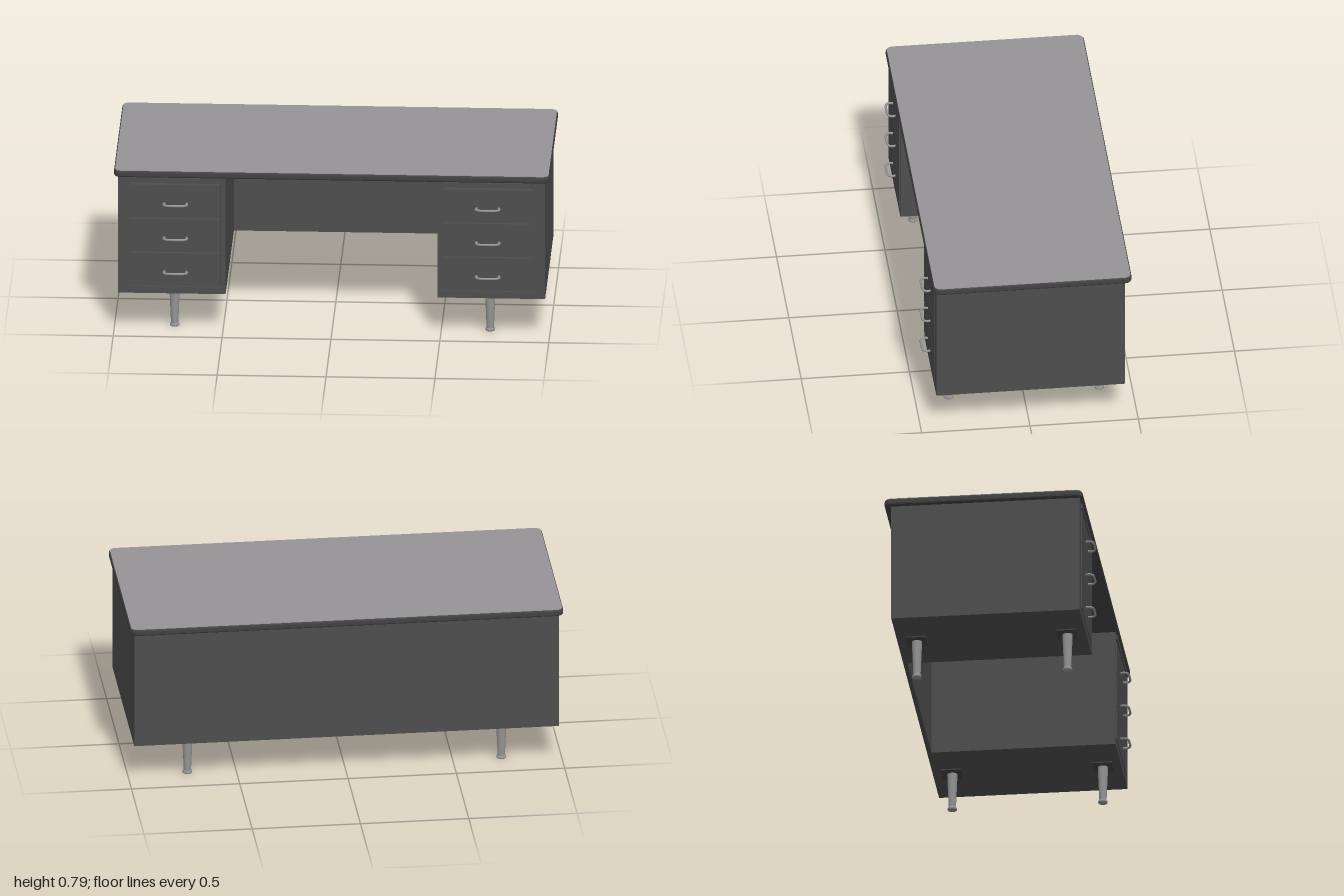
import * as THREE from 'three';

const mat = (name, color, side = THREE.FrontSide) => {
  const m = new THREE.MeshStandardMaterial({ color, side });
  m.name = name;
  return m;
};

function roundedRect(w, d, r, cy = 0) {
  const s = new THREE.Shape(), x = w / 2, y = d / 2;
  s.absarc(x - r, cy + y - r, r, 0, Math.PI / 2);
  s.absarc(-x + r, cy + y - r, r, Math.PI / 2, Math.PI);
  s.absarc(-x + r, cy - y + r, r, Math.PI, Math.PI * 1.5);
  s.absarc(x - r, cy - y + r, r, Math.PI * 1.5, Math.PI * 2);
  s.closePath();
  return s;
}

export function createModel() {
  const desk = new THREE.Group();
  desk.name = 'desk';
  const body = mat('dark grey enamel', 0x4e4e4e);
  const rim = mat('dark edge trim', 0x424242);
  const top = mat('grey worktop', 0x959396);
  const metal = mat('brushed metal', 0x959595);

  const add = (parent, name, geo, material, x = 0, y = 0, z = 0) => {
    const m = new THREE.Mesh(geo, material);
    m.name = name;
    m.position.set(x, y, z);
    parent.add(m);
    return m;
  };
  // Box given by its limits on each axis
  const box = (parent, name, material, x0, x1, y0, y1, z0, z1) =>
    add(parent, name, new THREE.BoxGeometry(x1 - x0, y1 - y0, z1 - z0), material,
      (x0 + x1) / 2, (y0 + y1) / 2, (z0 + z1) / 2);

  // Worktop: rounded trim with a flat surface laid on it
  const b = 0.01, zMid = -0.0145;
  const rimGeo = new THREE.ExtrudeGeometry(roundedRect(2 - 2 * b, 0.915 - 2 * b, 0.022, -zMid), {
    depth: 0.033 - 2 * b, bevelEnabled: true, bevelThickness: b, bevelSize: b, bevelSegments: 3, curveSegments: 6,
  });
  rimGeo.rotateX(-Math.PI / 2);
  add(desk, 'worktopTrim', rimGeo, rim, 0, 0.753 + b, 0);
  const surface = new THREE.ExtrudeGeometry(roundedRect(1.99, 0.905, 0.028, -zMid),
    { depth: 0.004, bevelEnabled: false, curveSegments: 6 });
  surface.rotateX(-Math.PI / 2);
  add(desk, 'worktopSurface', surface, top, 0, 0.783, 0);

  // Back panel across the kneehole
  box(desk, 'backPanel', body, -0.488, 0.488, 0.187, 0.755, -0.44, -0.42);

  // Pedestal front frame with an opening for the drawers
  const frame = new THREE.Shape([[0.487, 0.187], [0.98, 0.187], [0.98, 0.755], [0.487, 0.755]]
    .map(p => new THREE.Vector2(...p)));
  frame.holes.push(new THREE.Path([[0.508, 0.22], [0.508, 0.752], [0.926, 0.752], [0.926, 0.22]]
    .map(p => new THREE.Vector2(...p))));
  const frameGeo = new THREE.ExtrudeGeometry(frame, { depth: 0.02, bevelEnabled: false });
  frameGeo.translate(-0.7335, 0, 0);

  // Bowed drawer pull
  const pull = new THREE.CatmullRomCurve3([
    [-0.05, 0, -0.003], [-0.054, 0, 0.02], [-0.04, 0, 0.034], [0, 0, 0.037],
    [0.04, 0, 0.034], [0.054, 0, 0.02], [0.05, 0, -0.003],
  ].map(p => new THREE.Vector3(...p)));
  const pullGeo = new THREE.TubeGeometry(pull, 24, 0.0055, 8);

  // Tapered leg with a rolled foot
  const legGeo = new THREE.LatheGeometry([
    [0, 0], [0.018, 0], [0.022, 0.003], [0.022, 0.01], [0.018, 0.014], [0.017, 0.018], [0.024, 0.182],
  ].map(p => new THREE.Vector2(...p)), 20);

  for (const s of [-1, 1]) {
    const ped = new THREE.Group();
    ped.name = s > 0 ? 'leftPedestal' : 'rightPedestal';
    ped.position.x = s * 0.7335;
    desk.add(ped);
    box(ped, 'cabinet', body, -0.2465, 0.2465, 0.187, 0.755, -0.44, 0.41);
    // The frame is mirrored by turning it half a circle about the vertical
    const front = add(ped, 'frontFrame', frameGeo, body, 0, 0, s > 0 ? 0.41 : 0.43);
    if (s < 0) front.rotation.y = Math.PI;

    const cx = -s * 0.0165;
    box(ped, 'writingSlide', body, cx - 0.204, cx + 0.204, 0.729, 0.75, 0.38, 0.436);
    for (let i = 0; i < 3; i++) {
      const y = 0.224 + i * 0.166;
      box(ped, 'drawer' + (i + 1), body, cx - 0.205, cx + 0.205, y, y + 0.161, 0.38, 0.433);
      add(ped, 'drawerPull' + (i + 1), pullGeo, metal, cx, y + 0.071, 0.432);
    }
    for (const z of [0.345, -0.35]) {
      const place = z > 0 ? 'front' : 'back', x = -s * 0.009;
      add(ped, place + 'Leg', legGeo, metal, x, 0, z);
      box(ped, place + 'LegPlate', rim, x - 0.053, x + 0.053, 0.181, 0.188, z - 0.047, z + 0.047);
    }
  }
  return desk;
}
